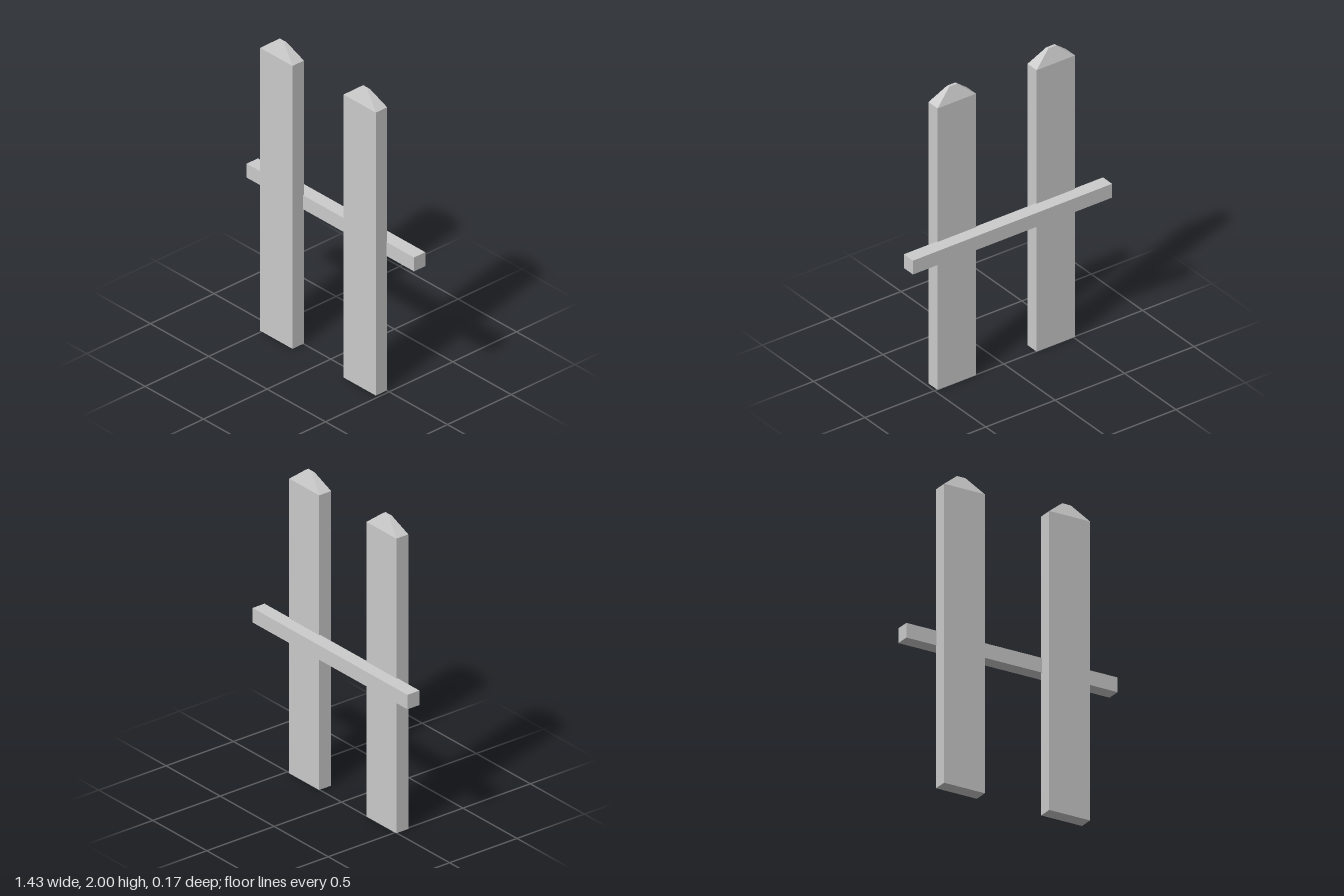
import * as THREE from 'three';

const material = new THREE.MeshStandardMaterial({ color: 0xcccccc, flatShading: true });

const WIDTH = 0.277, DEPTH = 0.089, SHOULDER = 1.91, HEIGHT = 2, TIP_SCALE = 0.21;

// Upright board: a box with two height segments, its top row drawn in to a blunt tip
function picketGeometry() {
  const geometry = new THREE.BoxGeometry(WIDTH, 2, DEPTH, 1, 2, 1);
  const p = geometry.attributes.position;
  for (let i = 0; i < p.count; i++) {
    const row = Math.round(p.getY(i)); // -1 foot, 0 shoulder, 1 tip
    const s = row === 1 ? TIP_SCALE : 1;
    p.setXYZ(i, p.getX(i) * s, [0, SHOULDER, HEIGHT][row + 1], p.getZ(i) * s);
  }
  geometry.computeVertexNormals();
  return geometry;
}

export function createModel() {
  const fence = new THREE.Group();
  fence.name = 'fence';

  // Two pointed pickets in front
  const geometry = picketGeometry();
  for (const [name, x] of [['rightPicket', -0.373], ['leftPicket', 0.341]]) {
    const picket = new THREE.Mesh(geometry, material);
    picket.name = name;
    picket.position.set(x, 0, 0.041);
    fence.add(picket);
  }

  // Horizontal rail across the back, slightly set into the pickets
  const rail = new THREE.Mesh(new THREE.BoxGeometry(1.434, 0.094, 0.089), material);
  rail.name = 'rail';
  rail.position.set(0, 0.957, -0.041);
  fence.add(rail);

  return fence;
}
